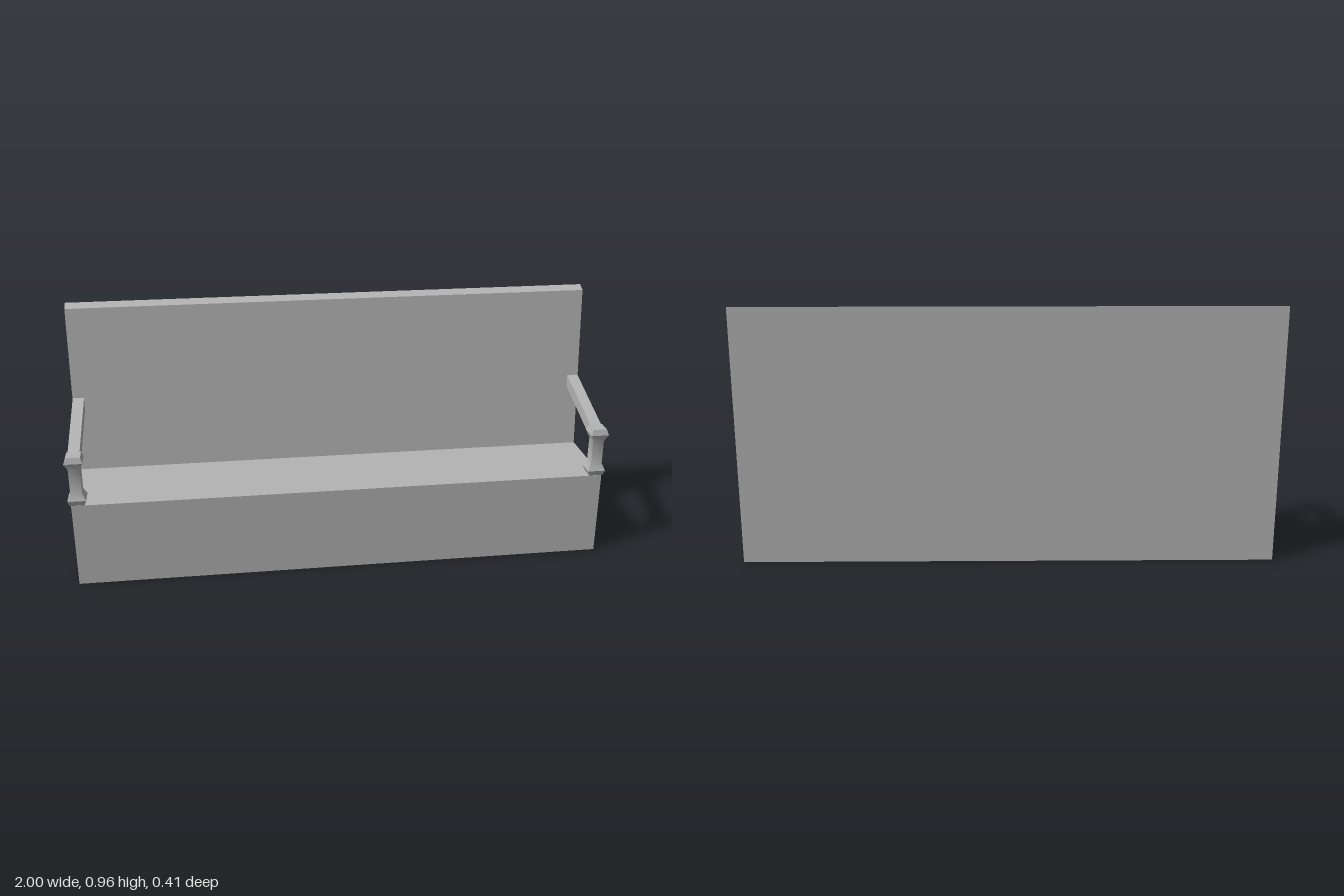
import * as THREE from 'three';
import { toCreasedNormals } from 'three/addons/utils/BufferGeometryUtils.js';

// Extrude a side profile of [z, y] points along x, centred on x = 0
function extrudeAlongX(profile, width) {
  const shape = new THREE.Shape(profile.map(([z, y]) => new THREE.Vector2(-z, y)));
  const geometry = new THREE.ExtrudeGeometry(shape, { depth: width, bevelEnabled: false });
  geometry.translate(0, 0, -width / 2);
  geometry.rotateY(Math.PI / 2);
  return geometry;
}

// Drop the triangles lying on the floor, leaving the underside open
function openBottom(geometry) {
  const p = geometry.attributes.position;
  const kept = [];
  for (let i = 0; i < p.count; i += 3) {
    if (Math.max(p.getY(i), p.getY(i + 1), p.getY(i + 2)) < 0.001) continue;
    for (let j = i; j < i + 3; j++) kept.push(p.getX(j), p.getY(j), p.getZ(j));
  }
  const open = new THREE.BufferGeometry();
  open.setAttribute('position', new THREE.Float32BufferAttribute(kept, 3));
  open.computeVertexNormals();
  return open;
}

// Square turned post from [half width, y] rings, softly shaded up each side
function squarePost(rings) {
  const points = rings.map(([half, y]) => new THREE.Vector2(half * Math.SQRT2, y));
  const lathe = new THREE.LatheGeometry(points, 4, Math.PI / 4);
  return toCreasedNormals(lathe, 0.65);
}

export function createModel() {
  const model = new THREE.Group();
  model.name = 'bench';
  const grey = new THREE.MeshStandardMaterial({ color: 0xb4b4b4, side: THREE.DoubleSide });
  grey.name = 'grey';

  function add(name, geometry, x = 0, z = 0) {
    const mesh = new THREE.Mesh(geometry, grey);
    mesh.name = name;
    mesh.position.set(x, 0, z);
    model.add(mesh);
  }

  // Box seat and tapering backrest in one hollow body
  const body = extrudeAlongX([
    [0.2, 0], [0.2, 0.322], [-0.114, 0.322],
    [-0.173, 0.945], [-0.204, 0.96], [-0.204, 0],
  ], 1.978);
  add('seatAndBackrest', openBottom(body));

  // Armrests: flared post and sloping rail, mirrored
  const post = squarePost([
    [0, 0.322], [0.026, 0.322], [0.033, 0.342], [0.021, 0.368],
    [0.021, 0.462], [0.033, 0.488], [0.026, 0.51], [0, 0.51],
  ]);
  const rail = extrudeAlongX([
    [0.155, 0.462], [0.155, 0.508], [-0.145, 0.607], [-0.145, 0.562],
  ], 0.042);
  for (const [side, x] of [['left', 0.967], ['right', -0.967]]) {
    add(side + 'ArmPost', post, x, 0.172);
    add(side + 'ArmRail', rail, x);
  }
  return model;
}
